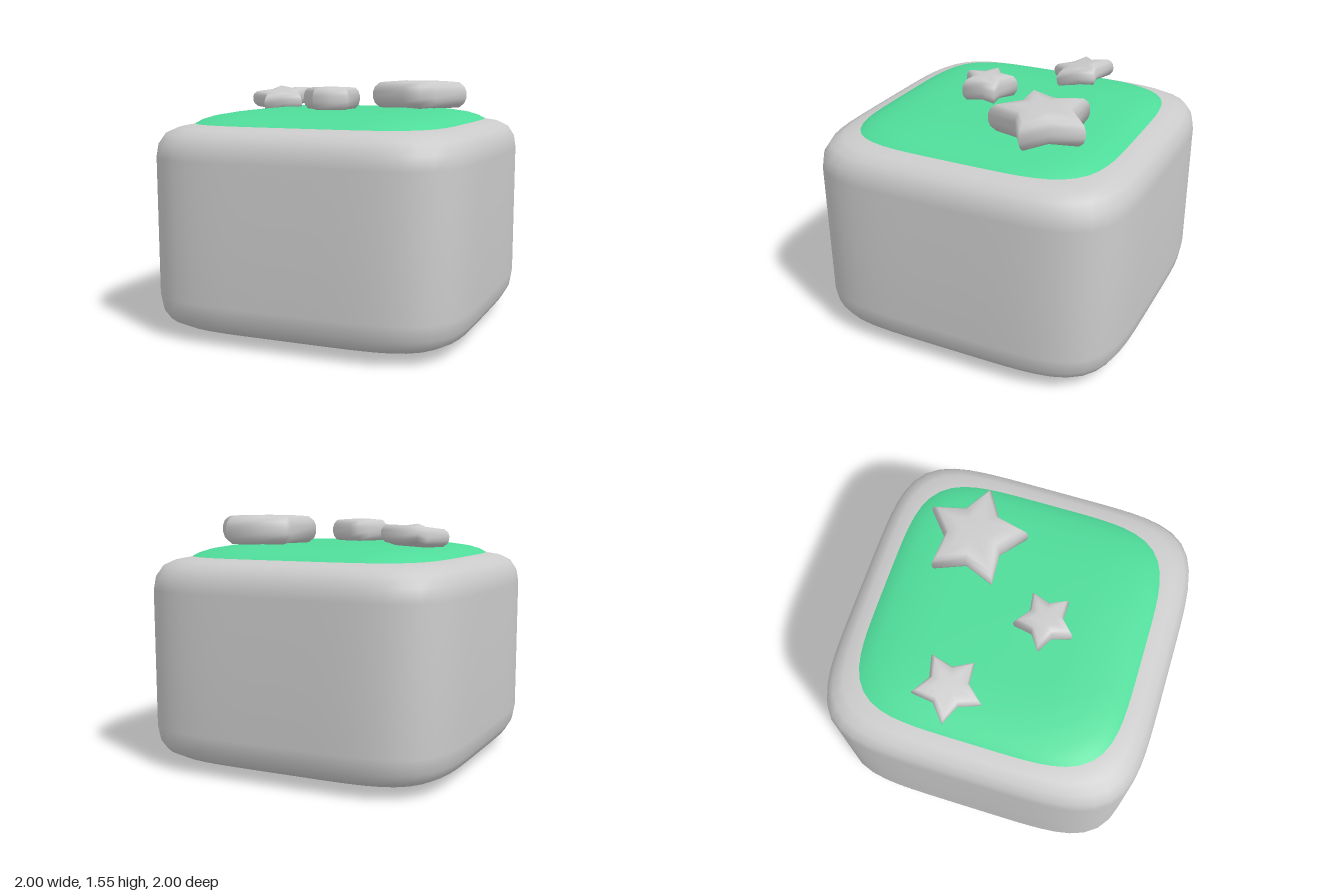
import * as THREE from 'three';

// Smooth surface through horizontal rings, listed from bottom to top.
// outline: function(angle) -> radius factor; profile: [scale, y] pairs.
function loft(outline, segments, profile) {
  const pos = [], idx = [];
  for (const [s, y] of profile) {
    for (let i = 0; i < segments; i++) {
      const a = (i / segments) * Math.PI * 2, r = s * outline(a, i);
      pos.push(r * Math.cos(a), y, r * Math.sin(a));
    }
  }
  for (let j = 0; j < profile.length - 1; j++) {
    for (let i = 0; i < segments; i++) {
      const k = (i + 1) % segments;
      const a = j * segments + i, b = j * segments + k;
      const c = a + segments, d = b + segments;
      if (profile[j][0] > 0) idx.push(a, c, b);
      if (profile[j + 1][0] > 0) idx.push(b, c, d);
      else if (profile[j][0] > 0) continue;
    }
  }
  const g = new THREE.BufferGeometry();
  g.setAttribute('position', new THREE.Float32BufferAttribute(pos, 3));
  g.setIndex(idx);
  g.computeVertexNormals();
  return g;
}

// Soft square outline
const softSquare = (n) => (a) =>
  (Math.abs(Math.cos(a)) ** n + Math.abs(Math.sin(a)) ** n) ** (-1 / n);

// Five-pointed outline: tips on even points, notches on odd ones
const starOutline = (a, i) => (i % 2 ? 0.57 : 1);

export function createModel() {
  const model = new THREE.Group();
  const grey = new THREE.MeshStandardMaterial({ color: 0xcccccc });
  const green = new THREE.MeshStandardMaterial({ color: 0x4fdc9a, side: THREE.DoubleSide });

  const add = (name, geometry, material) => {
    const mesh = new THREE.Mesh(geometry, material);
    mesh.name = name;
    model.add(mesh);
    return mesh;
  };

  // Pillow-edged block
  add('body', loft(softSquare(5.2), 80, [
    [0, 0], [0.5, 0.002], [0.65, 0.013], [0.78, 0.03], [0.89, 0.06], [0.95, 0.095],
    [0.985, 0.155], [1, 0.25], [1, 0.65], [1, 1.1], [0.988, 1.18], [0.95, 1.245],
    [0.89, 1.278], [0.8, 1.297], [0.7, 1.3], [0, 1.3],
  ]), grey);

  // Domed covering on top
  add('topCover', loft(softSquare(4.6), 80, [
    [0.815, 1.3], [0.78, 1.321], [0.72, 1.342], [0.62, 1.36], [0.5, 1.371],
    [0.4, 1.375], [0, 1.376],
  ]), green);

  // Puffy stars: name, centre x y z, radius, thickness, turn and tilt in degrees
  const stars = [
    ['largeStar', 0.384, 1.46, -0.356, 0.322, 0.18, 0, 0],
    ['mediumStar', -0.565, 1.425, -0.212, 0.215, 0.115, 27, 11],
    ['smallStar', -0.016, 1.448, 0.206, 0.187, 0.142, 33, 0],
  ];
  for (const [name, x, y, z, r, t, turn, tilt] of stars) {
    const star = add(name, loft(starOutline, 10, [
      [0, -0.5 * t], [r * 0.5, -0.5 * t], [r * 0.85, -0.46 * t], [r * 0.96, -0.3 * t],
      [r, -0.12 * t], [r, 0.12 * t], [r * 0.96, 0.3 * t], [r * 0.85, 0.46 * t],
      [r * 0.5, 0.5 * t], [0, 0.5 * t],
    ]), grey);
    star.position.set(x, y, z);
    star.rotation.set(THREE.MathUtils.degToRad(tilt), -THREE.MathUtils.degToRad(turn), 0);
  }
  return model;
}
